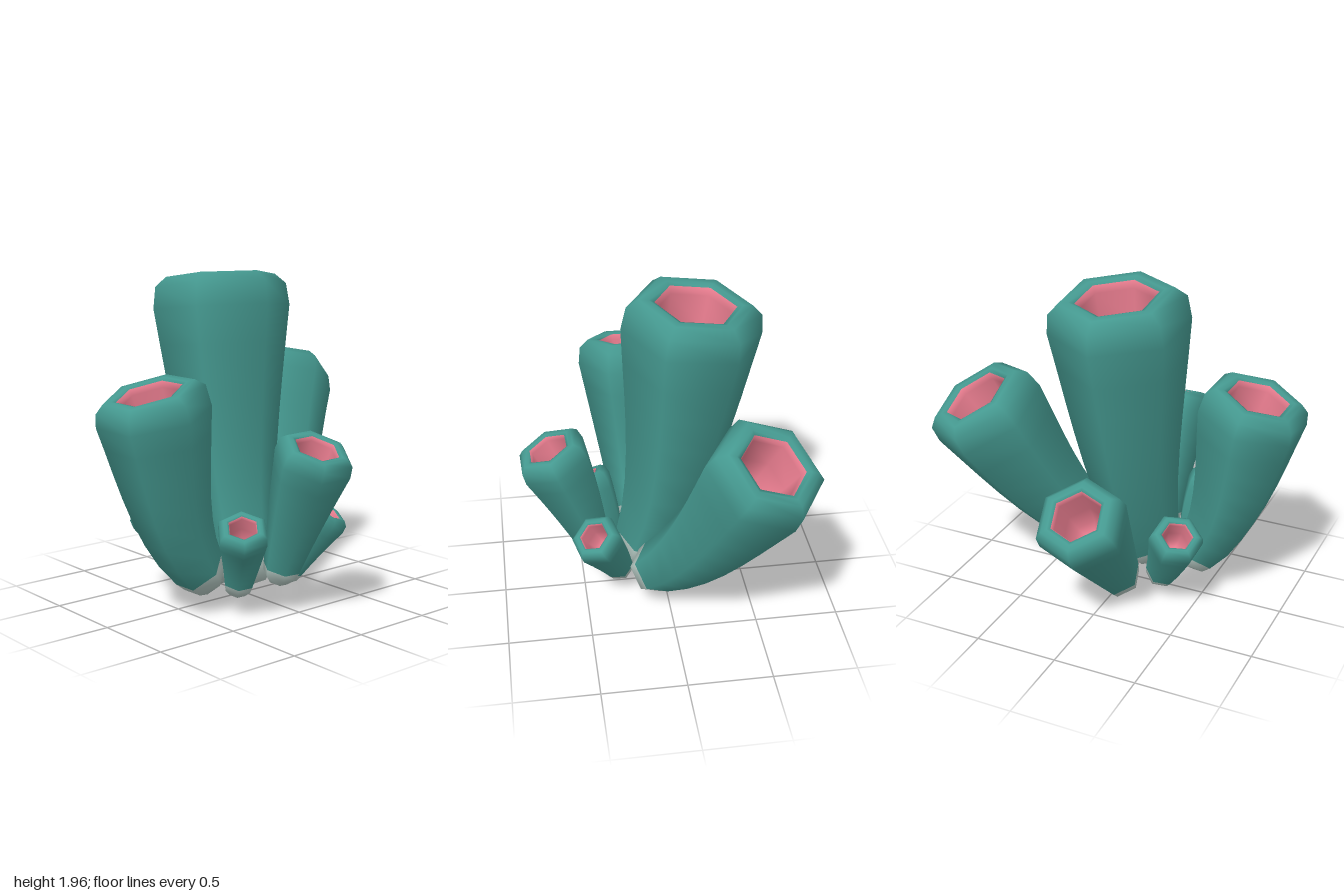
import * as THREE from 'three';

const flat = (name, color) => Object.assign(new THREE.MeshStandardMaterial({ color }), { name });
const V = (p) => new THREE.Vector3(...p);
const SIDES = 6;

// Rounded foot: [radius, offset along the axis], in units of the base radius
const FOOT = [[0, -0.88], [0.55, -0.8], [0.9, -0.42]];
// Lip and hollow: [radius, offset from the rim], in units of the top radius
const LIP = [[0.96, -0.14], [0.8, 0], [0.66, 0], [0.58, -0.03]];
const HOLLOW = [[0.54, -0.14], [0.49, -0.6], [0.4, -1.0], [0.2, -1.12], [0, -1.14]];
const WALL_STEPS = 7;

// Hexagonal hollow tube swept along a curve; material groups: foot, skin, hollow
function tubeGeometry(points, baseR, topR, turn) {
  const pts = points.map(V);
  const curve = pts.length === 4
    ? new THREE.CubicBezierCurve3(...pts)
    : new THREE.QuadraticBezierCurve3(...pts);
  const pos = [], index = [];

  const ring = (center, t, r) => {
    const u = new THREE.Vector3(1, 0, 0).addScaledVector(t, -t.x).normalize();
    const v = new THREE.Vector3().crossVectors(t, u);
    for (let j = 0; j < SIDES; j++) {
      const a = THREE.MathUtils.degToRad(turn) + (j / SIDES) * Math.PI * 2;
      const p = center.clone()
        .addScaledVector(u, r * Math.cos(a))
        .addScaledVector(v, r * Math.sin(a));
      pos.push(p.x, p.y, p.z);
    }
  };
  const endRings = (at, profile, r) => {
    const c = curve.getPoint(at), t = curve.getTangent(at);
    for (const [k, d] of profile) ring(c.clone().addScaledVector(t, d * r), t, k * r);
  };

  endRings(0, FOOT, baseR);
  const last = 1 - (0.45 * topR) / curve.getLength();
  for (let i = 0; i <= WALL_STEPS; i++) {
    const s = (i / WALL_STEPS) * last;
    ring(curve.getPointAt(s), curve.getTangentAt(s), THREE.MathUtils.lerp(baseR, topR, s / last));
  }
  endRings(1, LIP, topR);
  endRings(1, HOLLOW, topR);

  const rows = pos.length / 3 / SIDES;
  for (let i = 0; i < rows - 1; i++) {
    for (let j = 0; j < SIDES; j++) {
      const a = i * SIDES + j, b = i * SIDES + ((j + 1) % SIDES);
      index.push(a, b, a + SIDES, b, b + SIDES, a + SIDES);
    }
  }
  const geo = new THREE.BufferGeometry();
  geo.setAttribute('position', new THREE.Float32BufferAttribute(pos, 3));
  geo.setIndex(index);
  geo.computeVertexNormals();

  const perRow = SIDES * 6;
  const foot = FOOT.length * perRow;
  const hollow = HOLLOW.length * perRow;
  geo.addGroup(0, foot, 0);
  geo.addGroup(foot, index.length - foot - hollow, 1);
  geo.addGroup(index.length - hollow, hollow, 2);
  return geo;
}

// name, path from foot to rim, base radius, top radius, turn in degrees
const TUBES = [
  ['tallCentreTube', [[0.1, 0.25, 0.09], [-0.11, 0.75, 0.04], [-0.13, 1.45, 0.04], [-0.19, 1.9, 0.015]], 0.2, 0.41, 0],
  ['largeBackTube', [[0.07, 0.22, -0.2], [-0.17, 0.5, -0.45], [-0.33, 0.87, -0.55], [-0.5, 1.29, -0.745]], 0.165, 0.345, -5],
  ['largeFrontTube', [[0.11, 0.24, 0.43], [0.1, 0.52, 0.67], [0.11, 1.02, 0.685], [0.11, 1.31, 0.77]], 0.16, 0.325, 0],
  ['rightSideTube', [[-0.22, 0.12, 0.03], [-0.4, 0.37, 0.01], [-0.675, 0.75, -0.015]], 0.14, 0.275, 8],
  ['leftSideTube', [[0.42, 0.25, 0.07], [0.52, 0.61, 0.045], [0.685, 0.995, 0.045]], 0.11, 0.228, -28],
  ['smallFrontRightTube', [[-0.145, 0.17, 0.29], [-0.22, 0.34, 0.38], [-0.32, 0.55, 0.46]], 0.1, 0.16, 0],
  ['smallFrontLeftTube', [[0.31, 0.18, 0.3], [0.36, 0.36, 0.315], [0.45, 0.55, 0.385]], 0.09, 0.155, 20],
  ['smallBackLeftTube', [[0.29, 0.18, -0.1], [0.36, 0.37, -0.18], [0.455, 0.55, -0.265]], 0.09, 0.155, -12],
];

export function createModel() {
  const materials = [
    flat('pale grey foot', 0xb6cac4),
    flat('teal skin', 0x459990),
    flat('pink hollow', 0xe57b8d),
  ];
  const model = new THREE.Group();
  model.name = 'tubeCluster';
  for (const [name, path, baseR, topR, turn] of TUBES) {
    const mesh = new THREE.Mesh(tubeGeometry(path, baseR, topR, turn), materials);
    mesh.name = name;
    model.add(mesh);
  }
  return model;
}
